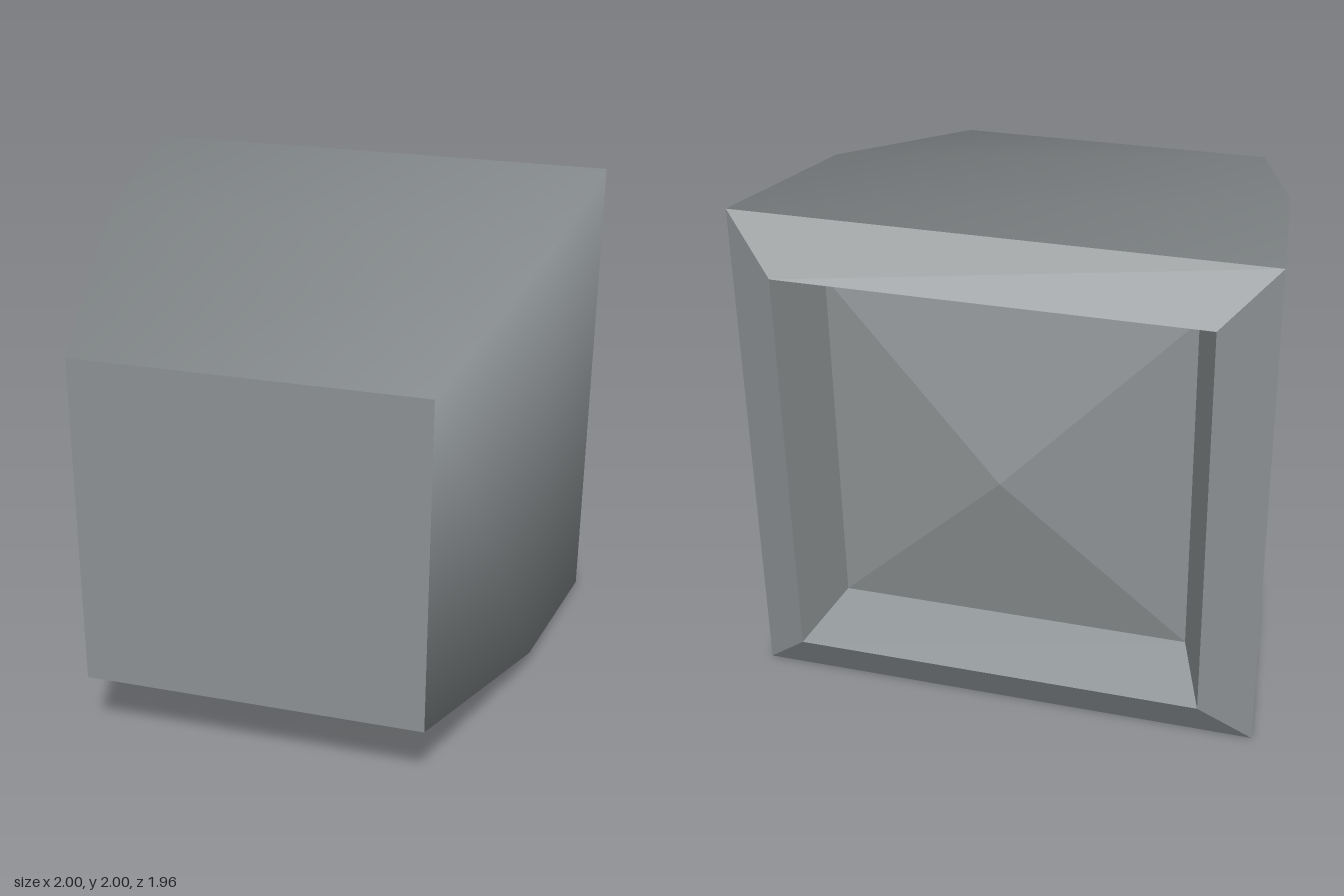
import * as THREE from 'three';

const CORNERS = [[1, 1], [-1, 1], [-1, -1], [1, -1]];

// Skin over square rings given as [half width, z], ordered front to back.
// With slopes (one per ring) the corners are shaded smooth, else faces are flat.
function squareShell(rings, slopes) {
  const positions = [], normals = [], index = [];
  rings.forEach(([half, z], r) => {
    for (const [sx, sy] of CORNERS) {
      positions.push(sx * half, sy * half + 1, z);
      if (slopes) normals.push(sx, sy, 2 * slopes[r]);
    }
  });
  for (let r = 0; r < rings.length - 1; r++) {
    for (let i = 0; i < 4; i++) {
      const a = r * 4 + i, b = r * 4 + (i + 1) % 4;
      index.push(a, a + 4, b, b, a + 4, b + 4);
    }
  }
  let geometry = new THREE.BufferGeometry();
  geometry.setAttribute('position', new THREE.Float32BufferAttribute(positions, 3));
  geometry.setIndex(index);
  if (slopes) {
    geometry.setAttribute('normal', new THREE.Float32BufferAttribute(normals, 3));
    geometry.normalizeNormals();
  } else {
    geometry = geometry.toNonIndexed();
    geometry.computeVertexNormals();
  }
  return geometry;
}

export function createModel() {
  const group = new THREE.Group();
  const grey = new THREE.MeshStandardMaterial({ color: 0x8c9193 });
  grey.name = 'grey';

  const add = (name, geometry) => {
    const mesh = new THREE.Mesh(geometry, grey);
    mesh.name = name;
    group.add(mesh);
    return mesh;
  };

  // Tapered housing, smooth shaded around its corners
  add('housing', squareShell([[0.675, 0.98], [0.91, -0.04], [1, -0.86]], [0.23, 0.17, 0.11]));

  // Flat square front
  add('frontPlate', new THREE.PlaneGeometry(1.35, 1.35)).position.set(0, 1, 0.98);

  // Bevelled rim at the back
  add('backRim', squareShell([[1, -0.86], [0.8, -0.98]]));

  // Recess walls, narrowing inward from the rim
  add('recessWalls', squareShell([[0.8, -0.98], [0.7, -0.72]]));

  // Shallow pyramid on the recess floor, pointing backward
  add('recessPyramid', squareShell([[0.7, -0.72], [0, -0.86]]));

  return group;
}
